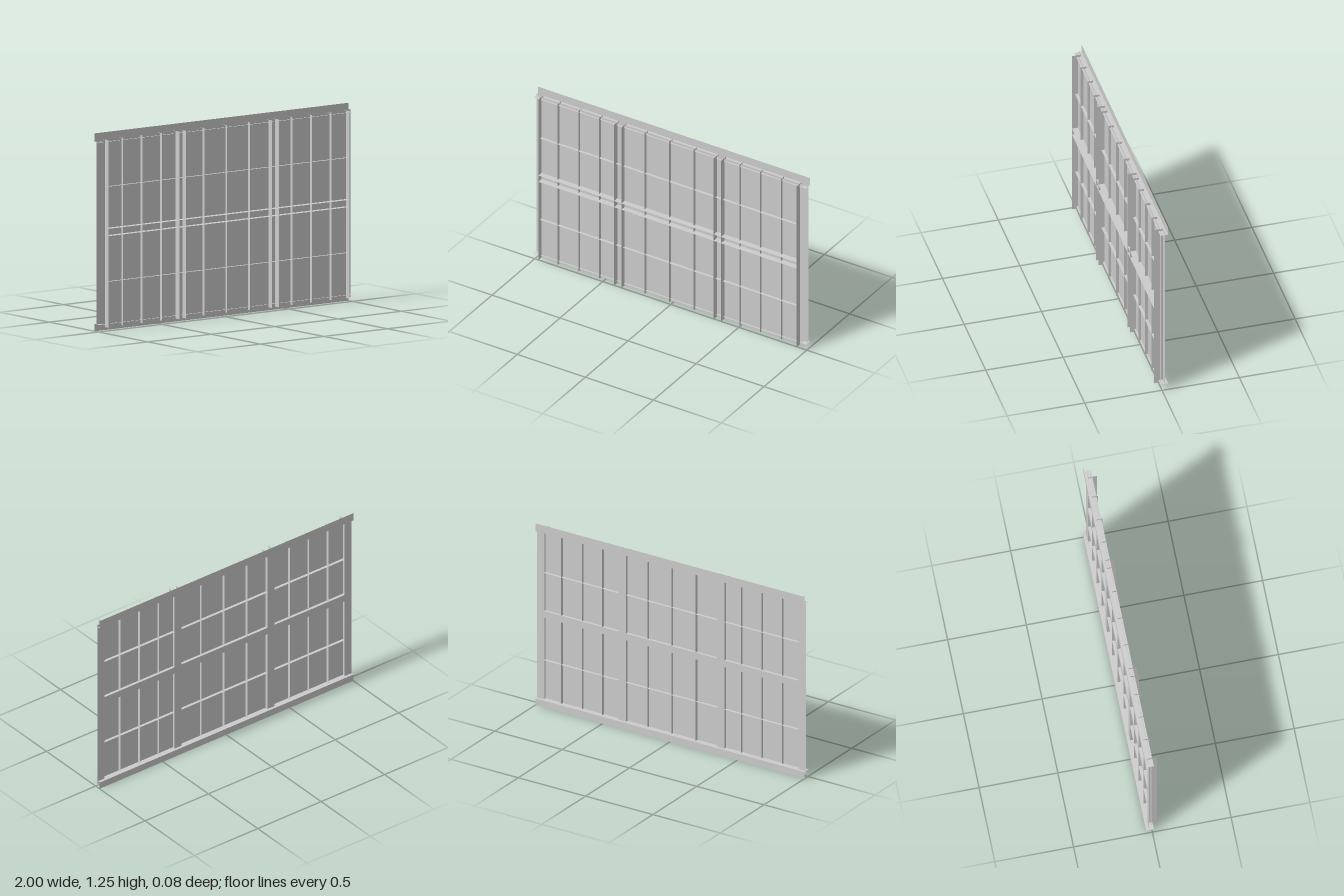
import * as THREE from 'three';

const FRONT = 0.038, BACK = -0.02, LEDGE_BACK = -0.039, LEDGE_FRONT = 0.01;
const LOW = 0.026, HIGH = 1.209, SIDE = 0.95;

export function createModel() {
  const model = new THREE.Group();
  const material = new THREE.MeshStandardMaterial({ color: 0xcccccc, side: THREE.DoubleSide });

  const add = (name, geometry, x, y, z) => {
    const mesh = new THREE.Mesh(geometry, material);
    mesh.name = name;
    mesh.position.set(x, y, z);
    model.add(mesh);
  };
  // Thin sheet facing z
  const face = (name, x0, x1, y0, y1, z) =>
    add(name, new THREE.PlaneGeometry(x1 - x0, y1 - y0), (x0 + x1) / 2, (y0 + y1) / 2, z);
  // Thin upright sheet facing x
  const fin = (name, x, z0, z1) =>
    add(name, new THREE.PlaneGeometry(z1 - z0, HIGH - LOW).rotateY(Math.PI / 2), x, (LOW + HIGH) / 2, (z0 + z1) / 2);
  // Thin level sheet facing y
  const shelf = (name, halfWidth, y, z0, z1) =>
    add(name, new THREE.PlaneGeometry(2 * halfWidth, z1 - z0).rotateX(-Math.PI / 2), 0, y, (z0 + z1) / 2);

  // Glazing sheet
  face('pane', -0.972, 0.972, LOW, HIGH, -0.001);

  // Angle rails at the head and the sill
  face('topRailFace', -1, 1, 1.194, 1.247, LEDGE_BACK);
  shelf('topRailLedge', 1, 1.194, LEDGE_BACK, LEDGE_FRONT);
  face('bottomRailFace', -1, 1, 0, 0.046, LEDGE_BACK);
  shelf('bottomRailLedge', 1, 0.046, LEDGE_BACK, LEDGE_FRONT);

  // Side stiles (angles) and main mullions (channels)
  for (const [side, s] of [['left', 1], ['right', -1]]) {
    face(side + 'StileFace', Math.min(s * 0.945, s), Math.max(s * 0.945, s), LOW, HIGH, BACK);
    fin(side + 'StileFin', s * SIDE, BACK, FRONT);
    face(side + 'MullionFace', s * 0.366 - 0.027, s * 0.366 + 0.027, LOW, HIGH, BACK);
    for (const d of [-0.027, 0.027]) fin(side + 'MullionFin', s * 0.366 + d, BACK, FRONT);
  }

  // Middle rail (channel)
  face('middleRailFace', -SIDE, SIDE, 0.604, 0.65, BACK);
  for (const y of [0.604, 0.65]) shelf('middleRailFin', SIDE, y, BACK, FRONT);

  // Slim glazing bars
  for (const x of [-0.82, -0.667, -0.515, -0.18, 0, 0.18, 0.515, 0.667, 0.82])
    fin('verticalGlazingBar', x, BACK, 0.018);
  for (const y of [0.313, 0.912]) shelf('horizontalGlazingBar', SIDE, y, BACK, 0.018);

  return model;
}
